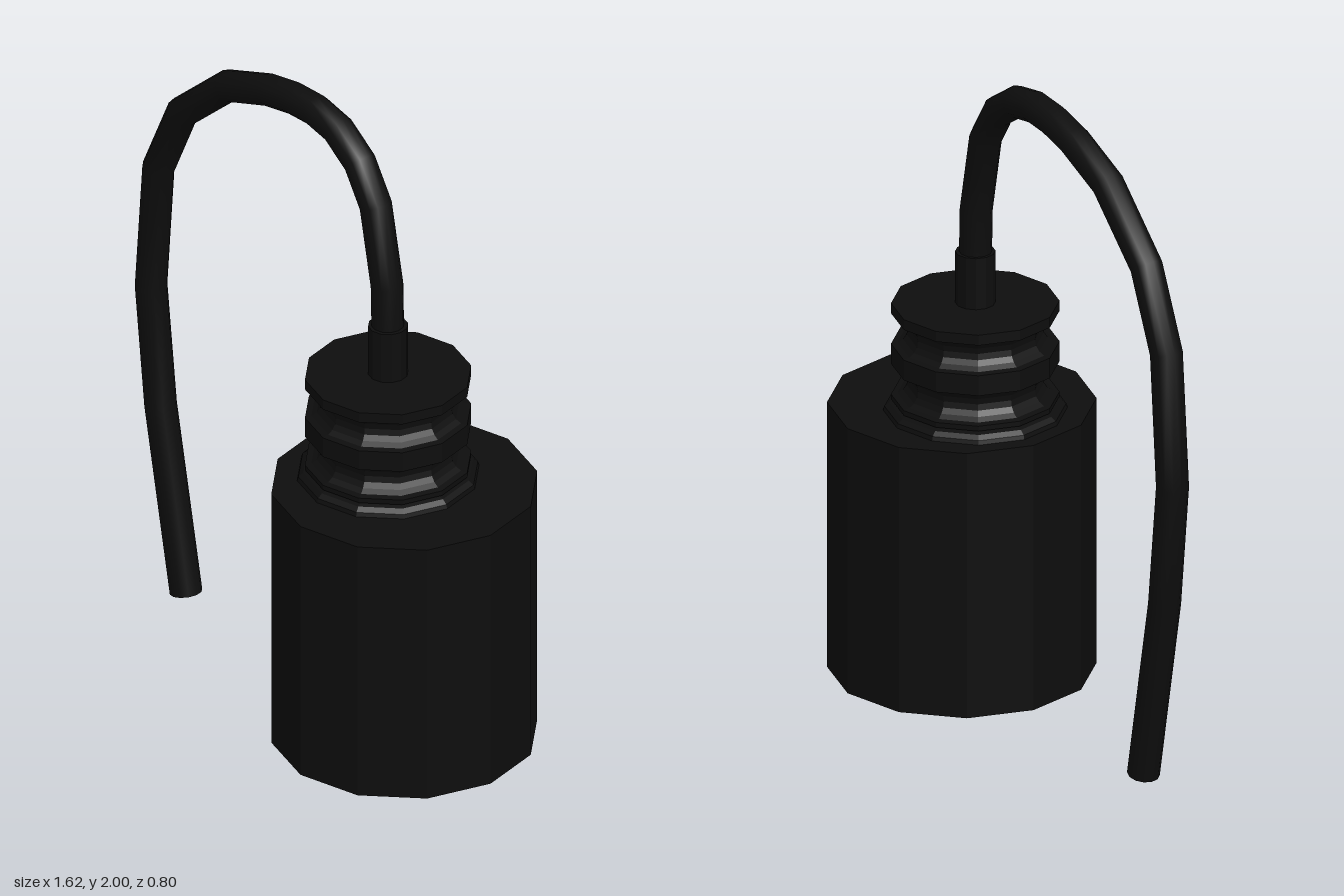
import * as THREE from 'three';

// Curve whose samples land exactly on the given bend points
class BendCurve extends THREE.Curve {
  constructor(points) {
    super();
    this.points = points;
  }
  index(u) {
    return Math.round(u * (this.points.length - 1));
  }
  getPointAt(u, target = new THREE.Vector3()) {
    return target.copy(this.points[this.index(u)]);
  }
  getPoint(u, target) {
    return this.getPointAt(u, target);
  }
  getTangentAt(u, target = new THREE.Vector3()) {
    const p = this.points, i = this.index(u);
    const before = p[i].clone().sub(p[Math.max(i - 1, 0)]).normalize();
    const after = p[Math.min(i + 1, p.length - 1)].clone().sub(p[i]).normalize();
    return target.copy(before.add(after).normalize());
  }
}

export function createModel() {
  const model = new THREE.Group();
  const SIDES = 12;
  const NECK_X = 0.335;
  const flat = new THREE.MeshStandardMaterial({ color: 0x0d0d0d, flatShading: true });
  const smooth = new THREE.MeshStandardMaterial({ color: 0x0d0d0d });

  const add = (name, geometry, material, x = 0, y = 0) => {
    const mesh = new THREE.Mesh(geometry, material);
    mesh.name = name;
    mesh.position.set(x, y, 0);
    model.add(mesh);
    return mesh;
  };

  // Twelve-sided body
  add('body', new THREE.CylinderGeometry(0.4, 0.4, 0.855, SIDES), flat, 0.41, 0.4275);

  // Neck: flared foot, then bands parted by two round grooves
  const profile = [[0.275, 0.85], [0.27, 0.868], [0.255, 0.88], [0.235, 0.885], [0.25, 0.89]];
  for (const grooveY of [0.955, 1.118]) {
    for (let i = 0; i <= 8; i++) {
      const a = (i / 8) * Math.PI;
      profile.push([0.25 - 0.05 * Math.sin(a), grooveY - 0.049 * Math.cos(a)]);
    }
  }
  profile.push([0.25, 1.2], [0, 1.2]);
  const neck = new THREE.LatheGeometry(profile.map(([r, y]) => new THREE.Vector2(r, y)), SIDES);
  add('neck', neck, flat, NECK_X);

  // Sleeve where the cable enters
  add('cableSleeve', new THREE.CylinderGeometry(0.06, 0.06, 0.17, SIDES), flat, NECK_X, 1.28);

  // Cable arching over and hanging down beside the body
  const bends = [
    [0.335, 1.3], [0.33, 1.5], [0.278, 1.75], [0.204, 1.865], [0.103, 1.932],
    [0, 1.952], [-0.1, 1.947], [-0.218, 1.923], [-0.405, 1.852], [-0.619, 1.664],
    [-0.73, 1.424], [-0.764, 1.005], [-0.72, 0.614], [-0.602, 0.01 + 0.01],
  ].map(([x, y]) => new THREE.Vector3(x, y, 0));
  const path = new BendCurve(bends);
  add('cable', new THREE.TubeGeometry(path, bends.length - 1, 0.049, SIDES), smooth);

  // Cap closing the free end of the cable
  const end = bends[bends.length - 1];
  const cap = add('cableEnd', new THREE.CircleGeometry(0.049, SIDES), flat, end.x, end.y);
  cap.quaternion.setFromUnitVectors(new THREE.Vector3(0, 0, 1), path.getTangentAt(1));

  return model;
}
